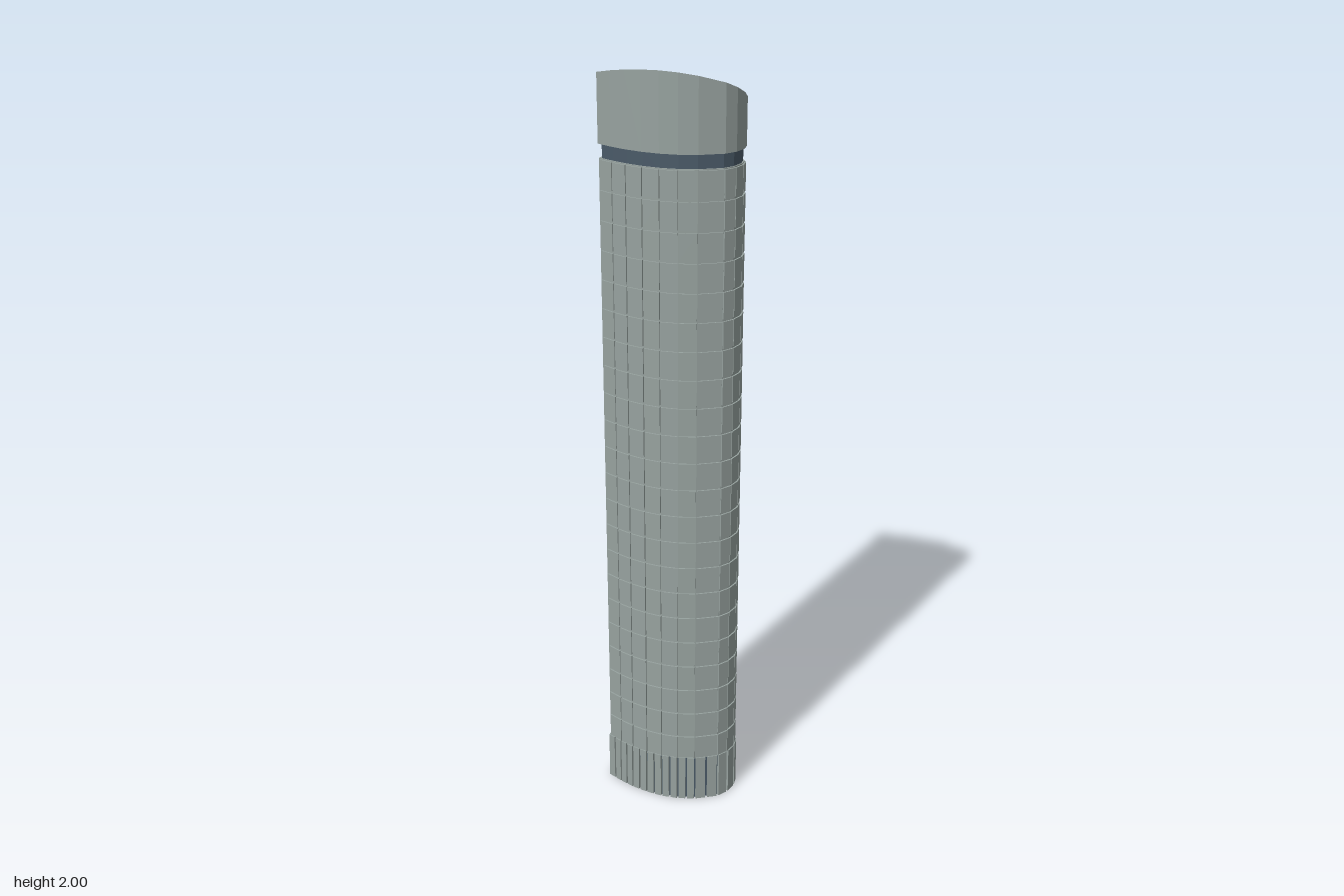
import * as THREE from 'three';
import { mergeGeometries } from 'three/addons/utils/BufferGeometryUtils.js';

const stone = new THREE.MeshStandardMaterial({ color: 0x97a29f, side: THREE.DoubleSide });
stone.name = 'grey cladding';
const glass = new THREE.MeshStandardMaterial({ color: 0x4a5a68, side: THREE.DoubleSide });
glass.name = 'slate glass';

// Footprint as (x, z): chamfered flat back, small notch, faceted curved front
const outline = [
  [-0.17, -0.085], [-0.097, -0.115], [0.093, -0.115], [0.082, -0.09],
  [0.125, -0.075], [0.15, -0.053], [0.167, -0.027], [0.171, 0.003],
  [0.163, 0.036], [0.145, 0.064], [0.09, 0.098], [0.045, 0.112],
  [0, 0.117], [-0.045, 0.114], [-0.09, 0.105], [-0.13, 0.092], [-0.171, 0.074],
].map(([x, z]) => new THREE.Vector2(x, z));
const count = outline.length;
const isCurved = (i) => i >= 3 && i < count - 1;

// Footprint moved inwards by d with mitred corners
function inset(d) {
  const normal = (i) => {
    const a = outline[(i + count) % count], b = outline[(i + 1) % count];
    const e = b.clone().sub(a).normalize();
    return new THREE.Vector2(-e.y, e.x);
  };
  return outline.map((p, i) => {
    const n1 = normal(i - 1), n2 = normal(i);
    return p.clone().addScaledVector(n1.clone().add(n2), d / (1 + n1.dot(n2)));
  });
}

// Upright prism between two heights, hollow when an inner outline is given
function prism(outer, y0, y1, inner) {
  const flip = (pts) => pts.map((p) => new THREE.Vector2(p.x, -p.y));
  const shape = new THREE.Shape(flip(outer));
  if (inner) shape.holes.push(new THREE.Path(flip(inner)));
  const g = new THREE.ExtrudeGeometry(shape, { depth: y1 - y0, bevelEnabled: false });
  return g.rotateX(-Math.PI / 2).translate(0, y0, 0);
}

// Slab lying along edge i of an outline, its outer face on the edge
function slab(pts, i, t0, t1, y0, y1, depth) {
  const a = pts[i], b = pts[(i + 1) % count];
  const e = b.clone().sub(a), length = e.length();
  const mid = a.clone().addScaledVector(e, (t0 + t1) / 2);
  e.normalize();
  const g = new THREE.BoxGeometry(length * (t1 - t0), y1 - y0, depth);
  g.rotateY(Math.atan2(-e.y, e.x));
  return g.translate(mid.x - e.y * depth / 2, (y0 + y1) / 2, mid.y + e.x * depth / 2);
}

export function createModel() {
  const group = new THREE.Group();
  const add = (name, geometry, material) => {
    const mesh = new THREE.Mesh(geometry, material);
    mesh.name = name;
    group.add(mesh);
  };
  const baseTop = 0.13, shaftTop = 1.775, floors = 22;
  const face = inset(0.001), core = inset(0.005), lining = inset(0.009);

  // Hollow shaft core
  add('shaftCore', prism(core, baseTop, shaftTop, lining), stone);

  // Curved side: one panel per facet and floor; flat sides: tall ribs
  const panels = [], ribs = [], step = (shaftTop - baseTop) / floors;
  const ribCounts = { 0: 4, 1: 7, 2: 1, [count - 1]: 5 };
  for (let i = 0; i < count; i++) {
    if (isCurved(i)) {
      for (let f = 0; f < floors; f++) {
        const y = baseTop + f * step;
        panels.push(slab(face, i, 0.03, 0.97, y + 0.003, y + step - 0.003, 0.005));
      }
    } else {
      const n = ribCounts[i];
      for (let k = 0; k < n; k++) {
        ribs.push(slab(face, i, (k + 0.08) / n, (k + 0.92) / n, baseTop, shaftTop, 0.005));
      }
    }
  }
  add('facadePanels', mergeGeometries(panels), stone);
  add('backRibs', mergeGeometries(ribs), stone);

  // Open base: glass behind piers on the curve, solid walls on the flat sides
  const baseFace = inset(-0.002), glassLine = inset(0.006), piers = [], walls = [], panes = [], liner = [];
  for (let i = 0; i < count; i++) {
    if (isCurved(i)) {
      panes.push(slab(glassLine, i, 0, 1, 0, baseTop, 0.002));
      liner.push(slab(lining, i, 0, 1, 0, shaftTop, 0.002));
      const n = i === 3 || i > 8 ? 2 : 1;
      for (let k = 0; k < n; k++) {
        piers.push(slab(baseFace, i, (k + 0.1) / n, (k + 0.9) / n, 0, baseTop + 0.005, 0.007));
      }
    } else {
      walls.push(slab(baseFace, i, 0, 1, 0, baseTop + 0.005, 0.009));
    }
  }
  add('basePiers', mergeGeometries(piers), stone);
  add('baseWalls', mergeGeometries(walls), stone);
  add('baseGlass', mergeGeometries(panes), glass);
  add('innerGlassLining', mergeGeometries(liner), glass);

  // Recessed band below the crown
  add('neckBand', prism(inset(0.008), shaftTop - 0.005, 1.815), glass);

  // Crown parapet with a top sloping down to the back
  const crown = prism(outline, 1.81, 1.9, inset(0.01));
  const p = crown.attributes.position;
  for (let i = 0; i < p.count; i++) {
    if (p.getY(i) > 1.85) p.setY(i, 1.9395 + 0.517 * p.getZ(i));
  }
  crown.computeVertexNormals();
  add('crownParapet', crown, stone);
  add('roofDeck', prism(inset(0.009), 1.811, 1.85), stone);
  add('roofPlantRoom', new THREE.BoxGeometry(0.13, 0.065, 0.087).translate(0.01, 1.88, -0.0015), stone);
  return group;
}
